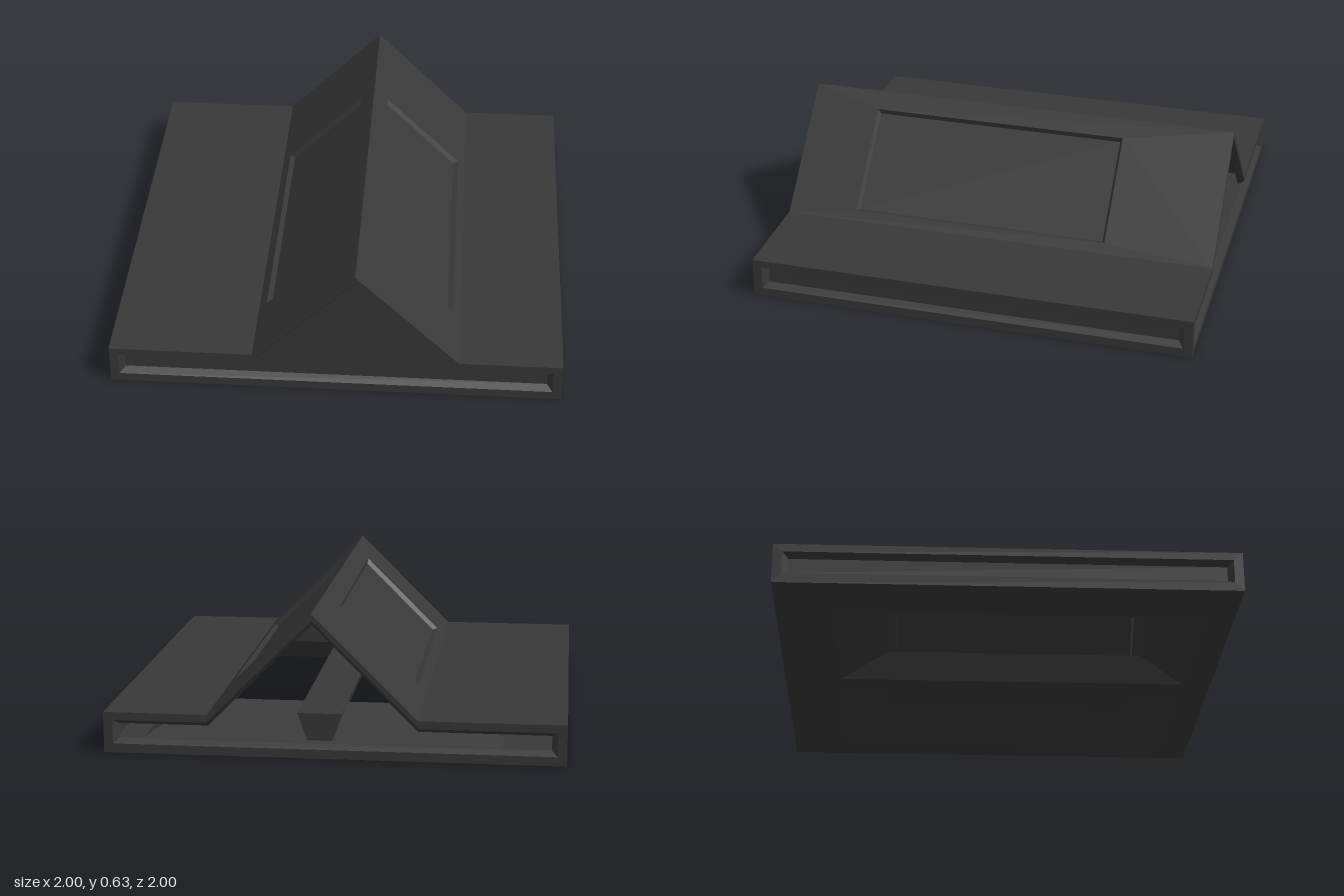
import * as THREE from 'three';

const charcoal = new THREE.MeshStandardMaterial({ color: 0x383838, side: THREE.DoubleSide });
charcoal.name = 'charcoal';

const RIDGE_X = 0.09, RIDGE_Y = 0.635, EAVE_Y = 0.18, HALF = RIDGE_Y - EAVE_Y;

const rect = (x0, x1, y0, y1) => [[x0, y0], [x1, y0], [x1, y1], [x0, y1]];
const vectors = pts => pts.map(([x, y]) => new THREE.Vector2(x, y));

// Low slab outline with a gable rising out of it, counterclockwise
const gable = (side, floor, eave, peak) => {
  const run = peak - eave;
  return [[-side, floor], [side, floor], [side, eave], [RIDGE_X + run, eave],
    [RIDGE_X, peak], [RIDGE_X - run, eave], [-side, eave]];
};
const mirrored = pts => pts.map(([x, y]) => [-x, y]).reverse();

function addMesh(parent, name, geometry) {
  const mesh = new THREE.Mesh(geometry, charcoal);
  mesh.name = name;
  parent.add(mesh);
  return mesh;
}

// Flat frame, bevel running inward from its hole, and an optional sunken panel
function recess(name, outer, hole, inner, depth, hasPanel = true) {
  const group = new THREE.Group();
  group.name = name;
  group.rotation.order = 'YXZ';

  const frame = new THREE.Shape(vectors(outer));
  frame.holes.push(new THREE.Path(vectors(hole)));
  addMesh(group, name + 'Frame', new THREE.ShapeGeometry(frame));

  const pos = [];
  hole.forEach((a, i) => {
    const j = (i + 1) % hole.length;
    const A = [...a, 0], B = [...hole[j], 0];
    const C = [...inner[j], -depth], D = [...inner[i], -depth];
    pos.push(...A, ...B, ...C, ...A, ...C, ...D);
  });
  const bevel = new THREE.BufferGeometry();
  bevel.setAttribute('position', new THREE.Float32BufferAttribute(pos, 3));
  bevel.computeVertexNormals();
  addMesh(group, name + 'Bevel', bevel);

  if (hasPanel) {
    const panel = new THREE.ShapeGeometry(new THREE.Shape(vectors(inner)));
    addMesh(group, name + 'Panel', panel).position.z = -depth;
  }
  return group;
}

export function createModel() {
  const model = new THREE.Group();
  model.name = 'gabledRoof';

  // Gable ends: closed at the front, open at the back
  const ends = [gable(1, 0, EAVE_Y, RIDGE_Y), gable(0.96, 0.04, 0.145, 0.605), gable(0.935, 0.06, 0.125, 0.58)];
  const front = recess('frontGable', ...ends, 0.03);
  front.position.z = 1;
  const back = recess('backGable', ...ends.map(mirrored), 0.03, false);
  back.position.z = -1;
  back.rotation.y = Math.PI;
  model.add(front, back);

  for (const s of [1, -1]) {
    const label = s > 0 ? 'left' : 'right';

    // Long sunken strip along each side
    const side = recess(label + 'Side', rect(-1, 1, 0, EAVE_Y),
      rect(-0.96, 0.96, 0.04, 0.145), rect(-0.935, 0.935, 0.06, 0.125), 0.03);
    side.position.x = s;
    side.rotation.y = s * Math.PI / 2;

    // Roof slope with its sunken skylight
    const [z0, z1] = s > 0 ? [-0.68, 0.5] : [-0.5, 0.68];
    const slope = recess(label + 'Slope', rect(-1, 1, -HALF * Math.SQRT2, 0),
      rect(z0, z1, -0.594, -0.092), rect(z0 + 0.013, z1 - 0.013, -0.581, -0.105), 0.02);
    slope.position.set(RIDGE_X, RIDGE_Y, 0);
    slope.rotation.set(-Math.PI / 4, s * Math.PI / 2, 0, 'YXZ');
    model.add(side, slope);

    // Flat eave deck
    const inside = RIDGE_X + s * HALF;
    const deck = addMesh(model, label + 'Deck', new THREE.PlaneGeometry(Math.abs(s - inside), 2));
    deck.position.set((s + inside) / 2, EAVE_Y, 0);
    deck.rotation.x = -Math.PI / 2;
  }

  // Underside border with a funnel leading up into the roof
  const base = recess('base', rect(-1, 1, -1, 1),
    rect(-0.72, 0.88, -0.75, 0.88), rect(-0.5, 0.66, -0.52, 0.67), 0.13, false);
  base.rotation.x = Math.PI / 2;
  model.add(base);

  // Tapered beam under the ridge
  const beam = new THREE.Shape(vectors([[-0.055, 0.005], [0.055, 0.005], [0.1, 0.13], [-0.1, 0.13]]));
  addMesh(model, 'centreBeam', new THREE.ExtrudeGeometry(beam, { depth: 1.62, bevelEnabled: false }))
    .position.set(RIDGE_X, 0, -0.74);

  return model;
}
